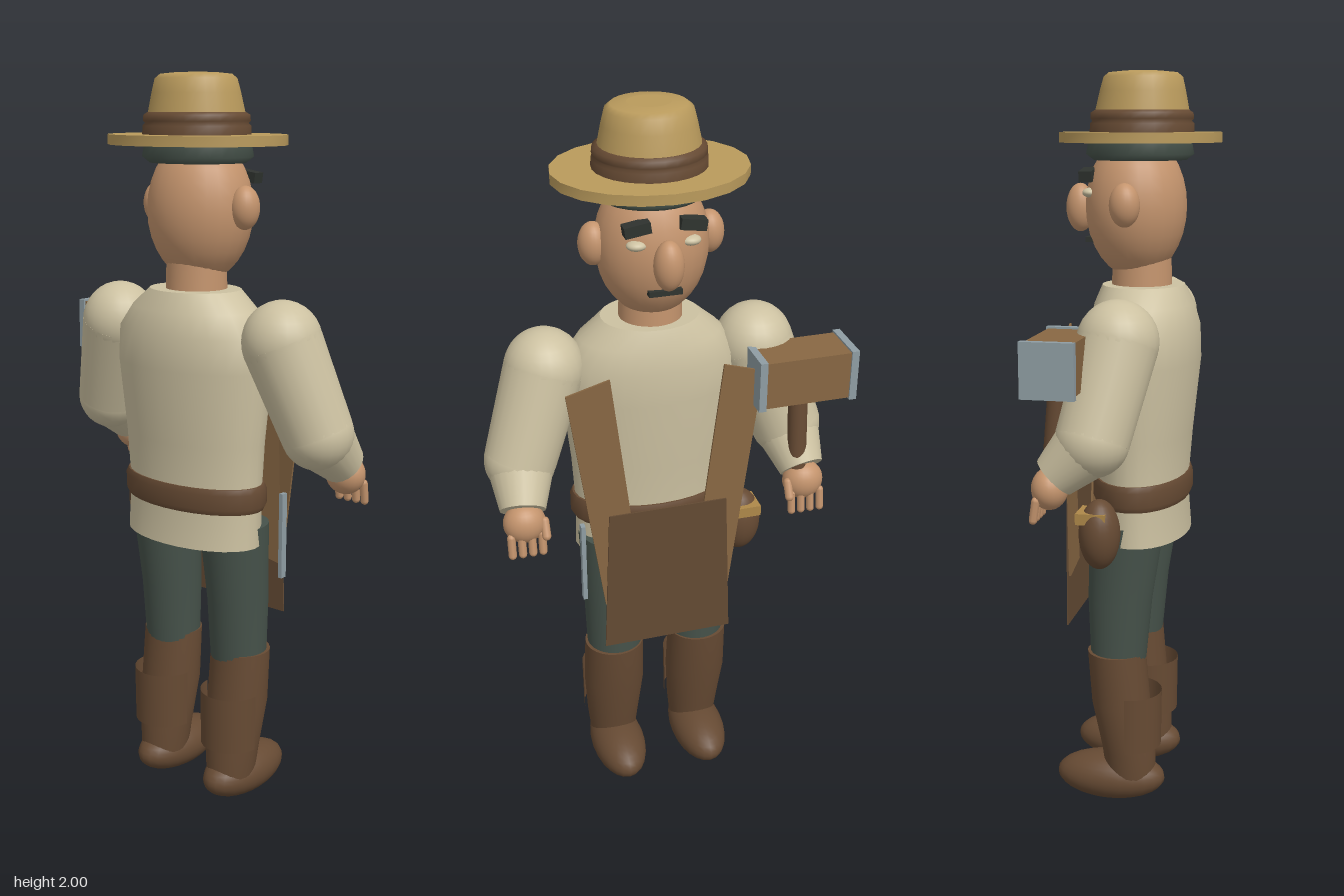
import * as THREE from 'three';

const mat = (name, hex) => {
  const m = new THREE.MeshStandardMaterial({ color: hex, side: THREE.DoubleSide });
  m.name = name;
  return m;
};

export function createModel() {
  const shirt = mat('linen', 0xccc1a1), skin = mat('skin', 0xc4946d), straw = mat('straw', 0xb99a5c);
  const leather = mat('brown leather', 0x664a33), cloth = mat('green cloth', 0x46524a);
  const strapTan = mat('tan leather', 0x886743), apronBrown = mat('apron brown', 0x634a33);
  const steel = mat('steel', 0x8f9da3), dark = mat('dark hair', 0x2f332f), brass = mat('brass', 0xae8849);

  const root = new THREE.Group();
  const C = 0.016; // body centre line in z; the figure looks along +x
  const V = (x, y, z) => new THREE.Vector3(x, y, z);

  const add = (name, geo, m, x = 0, y = 0, z = 0) => {
    const mesh = new THREE.Mesh(geo, m);
    mesh.name = name;
    mesh.position.set(x, y, z);
    root.add(mesh);
    return mesh;
  };
  const ball = (name, m, x, y, z, rx, ry, rz) => {
    const b = add(name, new THREE.SphereGeometry(1, 24, 16), m, x, y, z);
    b.scale.set(rx, ry, rz);
    return b;
  };
  const box = (name, m, x, y, z, w, h, d) => add(name, new THREE.BoxGeometry(w, h, d), m, x, y, z);
  // tapered round limb between two points
  const limb = (name, m, a, b, ra, rb) => {
    const d = b.clone().sub(a);
    const p = a.clone().add(b).multiplyScalar(0.5);
    const l = add(name, new THREE.CylinderGeometry(rb, ra, d.length(), 24, 1), m, p.x, p.y, p.z);
    l.quaternion.setFromUnitVectors(V(0, 1, 0), d.normalize());
    return l;
  };
  // elliptical cross-sections [y, centreX, radiusX, radiusZ] joined into a skin, closed at both ends
  const loft = (name, m, z, rings, n = 28) => {
    const pos = [], idx = [];
    for (const [y, cx, rx, rz] of rings)
      for (let i = 0; i < n; i++) {
        const t = (i / n) * Math.PI * 2;
        pos.push(cx + rx * Math.cos(t), y, rz * Math.sin(t));
      }
    for (let r = 0; r < rings.length - 1; r++)
      for (let i = 0; i < n; i++) {
        const a = r * n + i, b = r * n + (i + 1) % n;
        idx.push(a, a + n, b, b, a + n, b + n);
      }
    // end caps use their own corners so the rims stay sharp
    [[0, 1], [rings.length - 1, -1]].forEach(([r, dir]) => {
      const start = pos.length / 3;
      for (let i = 0; i < n; i++) pos.push(...pos.slice((r * n + i) * 3, (r * n + i) * 3 + 3));
      for (let i = 1; i < n - 1; i++)
        dir > 0 ? idx.push(start, start + i, start + i + 1) : idx.push(start, start + i + 1, start + i);
    });
    const g = new THREE.BufferGeometry();
    g.setAttribute('position', new THREE.Float32BufferAttribute(pos, 3));
    g.setIndex(idx);
    g.computeVertexNormals();
    return add(name, g, m, 0, 0, z);
  };

  // Tunic and belt
  loft('tunic', shirt, C, [
    [0.77, -0.015, 0.125, 0.215], [0.9, -0.01, 0.12, 0.212], [1.05, -0.012, 0.13, 0.22],
    [1.25, -0.015, 0.148, 0.24], [1.34, -0.015, 0.145, 0.235], [1.4, -0.012, 0.132, 0.19], [1.45, -0.01, 0.11, 0.13]]);
  loft('belt', leather, C, [[0.87, -0.01, 0.126, 0.219], [0.885, -0.01, 0.133, 0.227],
    [0.925, -0.01, 0.133, 0.227], [0.94, -0.01, 0.127, 0.22]]);

  // Head
  loft('neck', skin, C, [[1.4, -0.005, 0.082, 0.084], [1.54, -0.005, 0.078, 0.08]]);
  ball('head', skin, 0.01, 1.655, C, 0.134, 0.19, 0.145);
  ball('nose', skin, 0.163, 1.65, C, 0.038, 0.064, 0.038);
  box('mouth', dark, 0.125, 1.568, C, 0.03, 0.014, 0.085);
  loft('hair', cloth, C, [[1.775, 0, 0.122, 0.13], [1.79, 0, 0.142, 0.148], [1.825, 0, 0.135, 0.142]]);

  // Hat
  loft('hatBrim', straw, C, [[1.82, -0.003, 0.213, 0.248], [1.846, -0.003, 0.213, 0.248]], 20);
  loft('hatCrown', straw, C, [[1.84, -0.005, 0.132, 0.138], [1.88, -0.005, 0.127, 0.132],
    [1.95, -0.007, 0.112, 0.117], [1.985, -0.008, 0.103, 0.108], [1.996, -0.008, 0.09, 0.094],
    [2.0, -0.008, 0.05, 0.055]]);
  loft('hatBand', leather, C, [[1.845, -0.005, 0.137, 0.144], [1.868, -0.005, 0.136, 0.143],
    [1.874, -0.005, 0.13, 0.136], [1.88, -0.005, 0.135, 0.142], [1.895, -0.005, 0.134, 0.14], [1.902, -0.005, 0.123, 0.128]]);

  for (const s of [1, -1]) {
    const Z = d => C + s * d;

    // Face details
    ball('ear', skin, 0.01, 1.665, Z(0.15), 0.04, 0.056, 0.038);
    ball('eye', shirt, 0.118, 1.692, Z(0.068), 0.022, 0.013, 0.026);
    const brow = box('eyebrow', dark, 0.125, 1.738, Z(0.07), 0.034, 0.028, 0.066);
    brow.rotation.x = s * 0.15;

    // Arm
    const shoulder = V(-0.002, 1.335, Z(0.284)), elbow = V(0.045, 1.1, Z(0.368)), wrist = V(0.14, 1.005, Z(0.385));
    ball('shoulder', shirt, shoulder.x, shoulder.y, shoulder.z, 0.105, 0.108, 0.105);
    limb('upperArm', shirt, shoulder, elbow, 0.105, 0.095);
    ball('elbow', shirt, elbow.x, elbow.y, elbow.z, 0.095, 0.095, 0.095);
    limb('forearm', shirt, elbow, wrist, 0.093, 0.06);

    // Hand with four fingers and a thumb
    ball('hand', skin, 0.152, 0.975, Z(0.385), 0.047, 0.055, 0.056);
    for (let i = 0; i < 4; i++) {
      const f = add('finger', new THREE.CapsuleGeometry(0.011, 0.05, 4, 8), skin, 0.182, 0.925, Z(0.345 + i * 0.027));
      f.rotation.z = 0.15;
    }
    const thumb = add('thumb', new THREE.CapsuleGeometry(0.012, 0.04, 4, 8), skin, 0.18, 0.965, Z(0.335));
    thumb.rotation.z = 0.5;

    // Leg and boot
    loft('trouserLeg', cloth, Z(0.122), [[0.4, 0.036, 0.075, 0.078], [0.6, 0.03, 0.088, 0.083], [0.82, 0.01, 0.103, 0.09]]);
    loft('bootShaft', leather, Z(0.125), [[0.07, 0.0, 0.07, 0.066], [0.16, 0.006, 0.074, 0.076],
      [0.3, 0.028, 0.081, 0.087], [0.45, 0.04, 0.08, 0.084]]);
    ball('foot', leather, 0.058, 0.072, Z(0.125), 0.154, 0.067, 0.078);
    add('bootGuard', new THREE.CylinderGeometry(0.087, 0.085, 0.16, 16, 1, true, Math.PI, Math.PI),
      leather, 0.001, 0.255, Z(0.125));

    // Apron strap: a thin slanted plate
    const strap = new THREE.Shape([[0.15, 1.36], [0.262, 1.32], [0.175, 0.67], [0.07, 0.69]]
      .map(([z, y]) => new THREE.Vector2(-s * z, y)));
    const g = new THREE.ExtrudeGeometry(strap, { depth: 0.006, bevelEnabled: false });
    g.rotateY(Math.PI / 2);
    const p = g.attributes.position;
    for (let i = 0; i < p.count; i++) {
      const across = Math.abs(p.getZ(i)), down = 1.36 - p.getY(i);
      p.setX(i, p.getX(i) + 0.152 + 0.006 * down / 0.69 - 0.14 * Math.max(0, across - 0.16));
    }
    g.computeVertexNormals();
    add('apronStrap', g, strapTan, 0, 0, C);
  }

  // Apron skirt
  const skirt = new THREE.Shape([[-0.162, 0.96], [0.162, 0.96], [0.18, 0.53], [-0.18, 0.53]]
    .map(([z, y]) => new THREE.Vector2(z, y)));
  const apron = add('apron', new THREE.ExtrudeGeometry(skirt, { depth: 0.004, bevelEnabled: false }), apronBrown, 0.164, 0, C);
  apron.rotation.y = Math.PI / 2;

  // Hip pouch with flap, and steel tool on the other hip
  ball('pouch', leather, 0.06, 0.815, -0.222, 0.055, 0.095, 0.06);
  box('pouchFlap', brass, 0.075, 0.865, -0.225, 0.08, 0.03, 0.085);
  box('steelTool', steel, 0.1, 0.78, 0.236, 0.02, 0.24, 0.012);

  // Mallet
  limb('malletHandle', leather, V(0.15, 1.02, -0.35), V(0.13, 1.25, -0.35), 0.026, 0.026);
  box('malletHead', strapTan, 0.124, 1.295, -0.355, 0.126, 0.13, 0.24);
  for (const z of [-0.48, -0.23]) box('malletPlate', steel, 0.123, 1.295, z, 0.137, 0.14, 0.02);

  return root;
}
